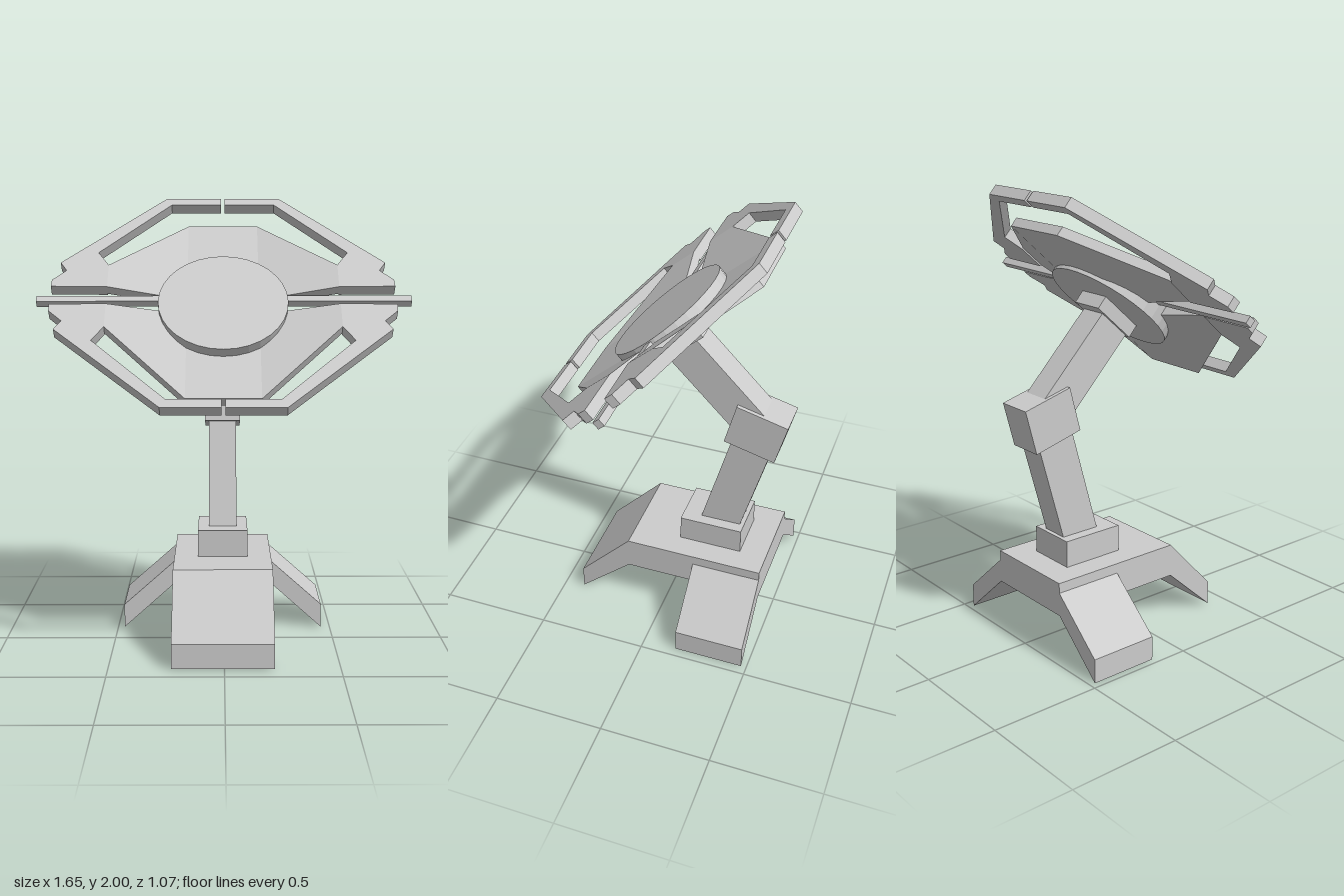
import * as THREE from 'three';

const material = new THREE.MeshStandardMaterial({ color: 0xcccccc, flatShading: true, side: THREE.DoubleSide });

function add(parent, name, geometry) {
  const mesh = new THREE.Mesh(geometry, material);
  mesh.name = name;
  parent.add(mesh);
  return mesh;
}

function prism(points, depth) {
  const shape = new THREE.Shape(points.map(([x, y]) => new THREE.Vector2(x, y)));
  return new THREE.ExtrudeGeometry(shape, { depth, bevelEnabled: false });
}

// Box from point a to point b, both given as [y, z]
function beam(parent, name, width, depth, a, b) {
  const dy = b[0] - a[0], dz = b[1] - a[1];
  const mesh = add(parent, name, new THREE.BoxGeometry(width, Math.hypot(dy, dz), depth));
  mesh.position.set(0, (a[0] + b[0]) / 2, (a[1] + b[1]) / 2);
  mesh.rotation.x = Math.atan2(dz, dy);
}

function box(parent, name, size, position) {
  add(parent, name, new THREE.BoxGeometry(...size)).position.set(...position);
}

// Panel front height: sunk in the middle, rising to the level of the outer frame
function panelHeight(x) {
  const t = THREE.MathUtils.clamp((Math.abs(x) - 0.16) / 0.35, 0, 1);
  return -0.045 + 0.075 * t;
}

// One quarter of the dish: flat middle, sloping wing and slotted outer frame
const quarterPieces = {
  panelMiddle: [[0, 0.045], [0.16, 0.045], [0.16, 0.53], [0, 0.53]],
  panelWing: [[0.16, 0.045], [0.51, 0.052], [0.51, 0.19], [0.16, 0.53]],
};
const framePoints = [
  [0.51, 0.052], [0.757, 0.055], [0.755, 0.095], [0.695, 0.155], [0.725, 0.205], [0.26, 0.64],
  [0.008, 0.64], [0.008, 0.595], [0.238, 0.595], [0.56, 0.27], [0.51, 0.19],
];

function addQuarter(dish, sx, sy) {
  const flip = (points) => points.map(([x, y]) => [x * sx, y * sy]);
  for (const [name, points] of Object.entries(quarterPieces)) {
    const geometry = prism(flip(points), 0.043);
    const pos = geometry.attributes.position;
    for (let i = 0; i < pos.count; i++) {
      pos.setZ(i, pos.getZ(i) - 0.043 + panelHeight(pos.getX(i)));
    }
    geometry.computeVertexNormals();
    add(dish, name, geometry);
  }
  add(dish, 'outerFrame', prism(flip(framePoints), 0.05)).position.z = -0.02;
}

export function createModel() {
  const model = new THREE.Group();
  model.name = 'dishOnStand';

  // Base with three sloping legs
  const stand = new THREE.Group();
  stand.name = 'stand';
  stand.position.x = -0.006;
  model.add(stand);
  box(stand, 'baseSlab', [0.445, 0.152, 0.64], [0, 0.294, -0.155]);
  for (const s of [-1, 1]) {
    const leg = prism([[0.222, 0.325], [0.464, 0.11], [0.464, 0], [0.222, 0.218]].map(([x, y]) => [x * s, y]), 0.32);
    add(stand, s > 0 ? 'leftLeg' : 'rightLeg', leg).position.z = -0.475;
  }
  const frontLeg = add(stand, 'frontLeg',
    prism([[0.165, 0.37], [0.408, 0.11], [0.408, 0], [0.165, 0.218]], 0.445));
  frontLeg.rotation.y = -Math.PI / 2;
  frontLeg.position.x = 0.2225;

  // Pedestal and jointed arm
  box(stand, 'pedestal', [0.228, 0.122, 0.292], [0, 0.431, -0.204]);
  beam(stand, 'lowerArm', 0.128, 0.18, [0.43, -0.22], [1.0, -0.378]);
  beam(stand, 'elbow', 0.165, 0.24, [0.945, -0.362], [1.145, -0.415]);
  beam(stand, 'upperArm', 0.128, 0.172, [1.06, -0.38], [1.44, -0.012]);

  // Tilted dish: local z is its facing direction, local y runs up the slope
  const dish = new THREE.Group();
  dish.name = 'dish';
  dish.position.set(0, 1.55, 0.047);
  dish.rotation.x = -0.841;
  model.add(dish);
  const quarters = new THREE.Group();
  quarters.name = 'panels';
  quarters.position.set(-0.004, 0.008, 0);
  dish.add(quarters);
  for (const sx of [-1, 1]) for (const sy of [-1, 1]) addQuarter(quarters, sx, sy);

  const hub = add(dish, 'hubDisc', new THREE.CylinderGeometry(0.286, 0.286, 0.105, 32));
  hub.rotation.x = Math.PI / 2;
  hub.position.set(-0.004, 0, -0.0525);
  box(dish, 'crossBar', [1.65, 0.034, 0.034], [0, 0.022, -0.022]);
  box(dish, 'mountBlock', [0.16, 0.23, 0.075], [-0.006, -0.01, -0.128]);

  return model;
}
